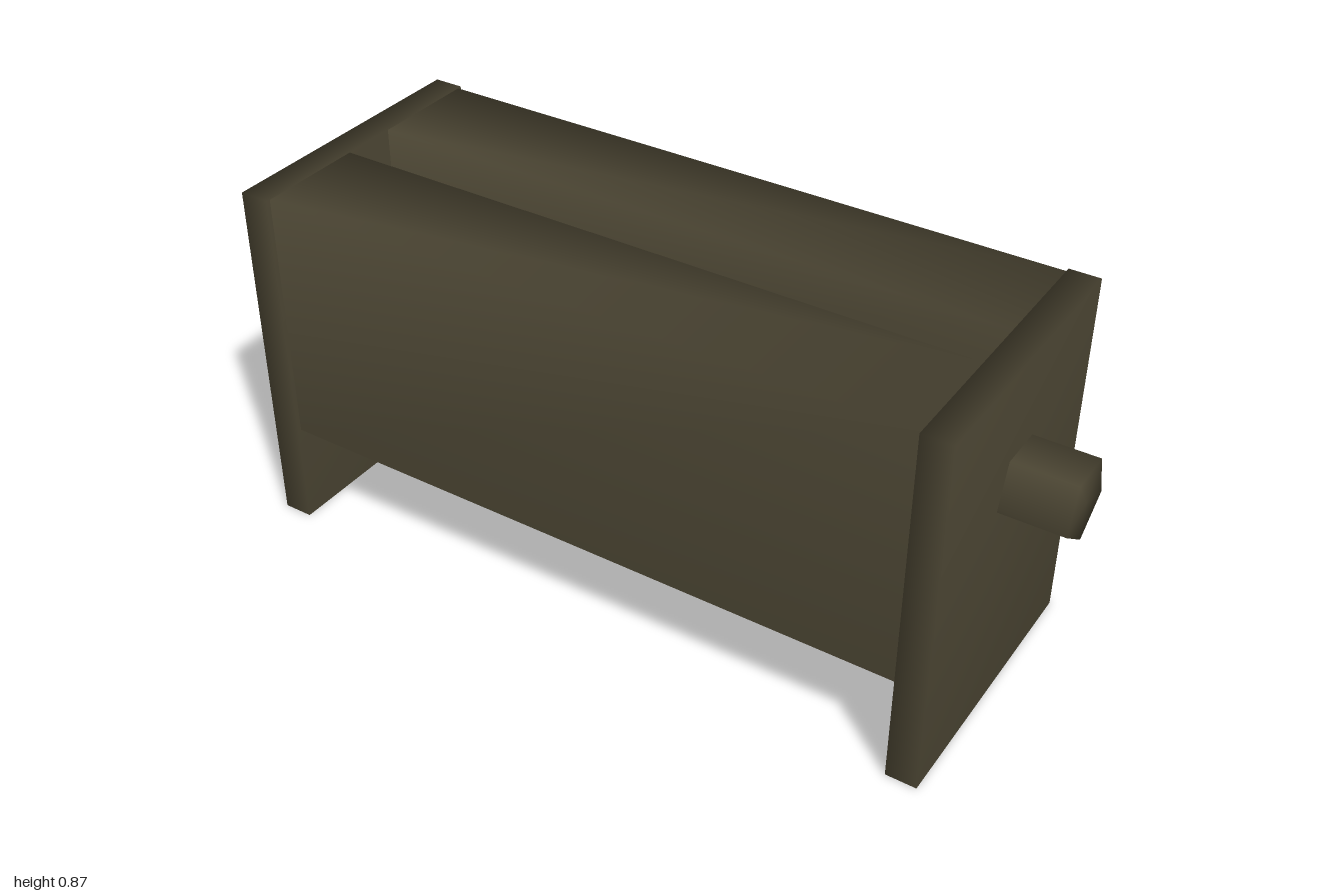
import * as THREE from 'three';
import { mergeVertices } from 'three/addons/utils/BufferGeometryUtils.js';

const olive = new THREE.MeshStandardMaterial({ color: 0x4a4432 });
olive.name = 'dark olive';

// Weld the corners so shading rolls smoothly over every edge
function soften(geometry) {
  geometry.deleteAttribute('normal');
  geometry.deleteAttribute('uv');
  const welded = mergeVertices(geometry, 1e-4);
  welded.clearGroups();
  welded.computeVertexNormals();
  return welded;
}

function addPart(group, name, geometry) {
  const mesh = new THREE.Mesh(soften(geometry), olive);
  mesh.name = name;
  group.add(mesh);
  return mesh;
}

export function createModel() {
  const group = new THREE.Group();
  group.name = 'housing';

  // End plates, which also serve as the feet
  for (const side of [1, -1]) {
    const plate = addPart(group, side > 0 ? 'leftEndPlate' : 'rightEndPlate',
      new THREE.BoxGeometry(0.072, 0.866, 0.68));
    plate.position.set(side * 0.818, 0.433, 0);
  }

  // Folded sheet covers: outer wall, top lip and short inner wall
  const t = 0.012, top = 0.865, outer = 0.33, inner = 0.067, low = 0.25, fold = 0.51;
  const profile = new THREE.Shape([
    [outer, low], [outer, top], [inner, top], [inner, fold],
    [inner + t, fold], [inner + t, top - t], [outer - t, top - t], [outer - t, low],
  ].map(([z, y]) => new THREE.Vector2(-z, y)));
  for (const name of ['frontCover', 'backCover']) {
    const cover = new THREE.ExtrudeGeometry(profile, { depth: 1.57, bevelEnabled: false });
    cover.translate(0, 0, -0.785).rotateY(Math.PI / 2);
    const mesh = addPart(group, name, cover);
    if (name === 'backCover') mesh.rotation.y = Math.PI;
  }

  // Five-sided axle running through both plates, one corner upward
  const axle = new THREE.CylinderGeometry(0.092, 0.092, 2, 5);
  axle.rotateY(-Math.PI / 2).rotateZ(Math.PI / 2);
  addPart(group, 'axle', axle).position.y = 0.577;

  return group;
}
